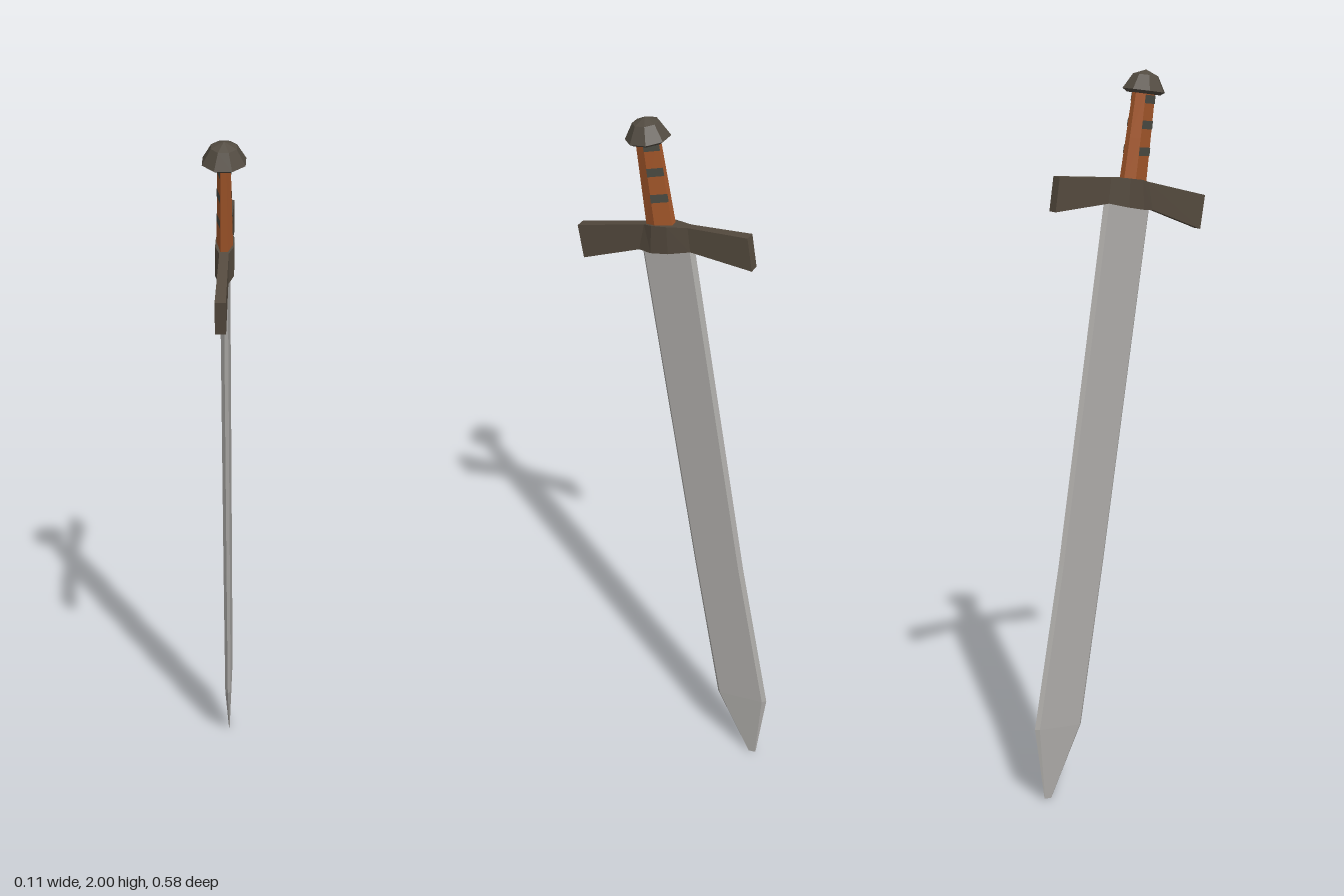
import * as THREE from 'three';

const paint = (name, color) => Object.assign(new THREE.MeshStandardMaterial({ color, flatShading: true }), { name });

// Flat-shaded solid through matching rings of points, closed at both ends
function loft(rings) {
  const pos = [];
  const tri = (...pts) => pts.forEach(p => pos.push(...p));
  const n = rings[0].length;
  for (let k = 0; k + 1 < rings.length; k++) {
    const lo = rings[k], hi = rings[k + 1];
    for (let i = 0; i < n; i++) {
      const j = (i + 1) % n;
      tri(lo[i], lo[j], hi[j]);
      tri(lo[i], hi[j], hi[i]);
    }
  }
  const first = rings[0], last = rings[rings.length - 1];
  for (let i = 1; i + 1 < n; i++) {
    tri(first[0], first[i + 1], first[i]);
    tri(last[0], last[i], last[i + 1]);
  }
  const g = new THREE.BufferGeometry();
  g.setAttribute('position', new THREE.Float32BufferAttribute(pos, 3));
  g.computeVertexNormals();
  return g;
}

// Blade section: two sharp edges and a flat on each side
function bladeRing([fz, fy, bz, by, h]) {
  const at = (t, x) => [x, fy + (by - fy) * t, fz + (bz - fz) * t];
  return [at(0, 0), at(0.06, h), at(0.93, h), at(1, 0), at(0.93, -h), at(0.06, -h)];
}

// Guard section across its length
const guardRing = ([zt, yt, zb, yb, w]) => [[-w, yb, zb], [-w, yt, zt], [w, yt, zt], [w, yb, zb]];

// Grip section: six-sided, skewed, tapering and leaning forward as it rises
const GRIP = [[1, 0.2], [0.45, -1], [-0.45, -1], [-1, -0.2], [-0.45, 1], [0.45, 1]];
function gripPoint([sx, sz], y, grow = 1) {
  const t = (y - 1.69) / 0.255;
  const hx = (0.022 - 0.005 * t) * grow, hz = (0.038 - 0.006 * t) * grow;
  return [sx * hx, y - sz * 0.006, 0.048 + 0.04 * t + sz * hz];
}

export function createModel() {
  const steel = paint('steel', 0xadaba8);
  const iron = paint('dark iron', 0x544a3e);
  const pommelIron = paint('pommel iron', 0x524b41);
  const leather = paint('brown leather', 0xa2562a);
  const strap = paint('dark strap', 0x4a4a42);
  strap.side = THREE.DoubleSide;

  const model = new THREE.Group();
  model.name = 'sword';
  const add = (name, geometry, material) => {
    const mesh = new THREE.Mesh(geometry, material);
    mesh.name = name;
    model.add(mesh);
    return mesh;
  };

  // Blade, tip to guard: front z, front y, back z, back y, half thickness
  add('blade', loft([
    [-0.235, 0.002, -0.258, 0.006, 0.001],
    [-0.131, 0.2, -0.288, 0.22, 0.008],
    [-0.052, 0.66, -0.203, 0.68, 0.009],
    [0.109, 1.65, -0.044, 1.675, 0.01],
  ].map(bladeRing)), steel);

  // Guard, front to back: top z, top y, bottom z, bottom y, half width
  add('guard', loft([
    [0.291, 1.653, 0.275, 1.561, 0.014],
    [0.095, 1.704, 0.11, 1.627, 0.012],
    [0.068, 1.712, 0.07, 1.632, 0.024],
    [0.024, 1.719, 0.02, 1.642, 0.024],
    [-0.03, 1.724, -0.038, 1.656, 0.011],
    [-0.2, 1.739, -0.214, 1.648, 0.014],
  ].map(guardRing)), iron);

  // Grip
  add('grip', loft([1.69, 1.82, 1.945].map(y => GRIP.map(c => gripPoint(c, y)))), leather);

  // Slanted straps on two opposite facets of the grip
  for (const y of [1.79, 1.86, 1.927]) {
    for (const k of [0, 3]) {
      const corners = [[k, -0.014], [k + 1, -0.012], [k + 1, 0.01], [k, 0.008]]
        .map(([c, dy]) => gripPoint(GRIP[c], y + dy, 1.05));
      const g = new THREE.BufferGeometry();
      g.setAttribute('position', new THREE.Float32BufferAttribute(corners.flat(), 3));
      g.setIndex([0, 1, 2, 0, 2, 3]);
      g.computeVertexNormals();
      add('gripStrap', g, strap);
    }
  }

  // Faceted dome pommel
  const profile = [[0, -0.008], [0.047, -0.008], [0.059, 0], [0.035, 0.041], [0, 0.055]];
  const dome = new THREE.LatheGeometry(profile.map(p => new THREE.Vector2(...p)), 8, Math.PI / 8).toNonIndexed();
  dome.computeVertexNormals();
  const pommel = add('pommel', dome, pommelIron);
  pommel.position.set(0, 1.946, 0.087);
  pommel.rotation.x = 0.15;

  return model;
}
